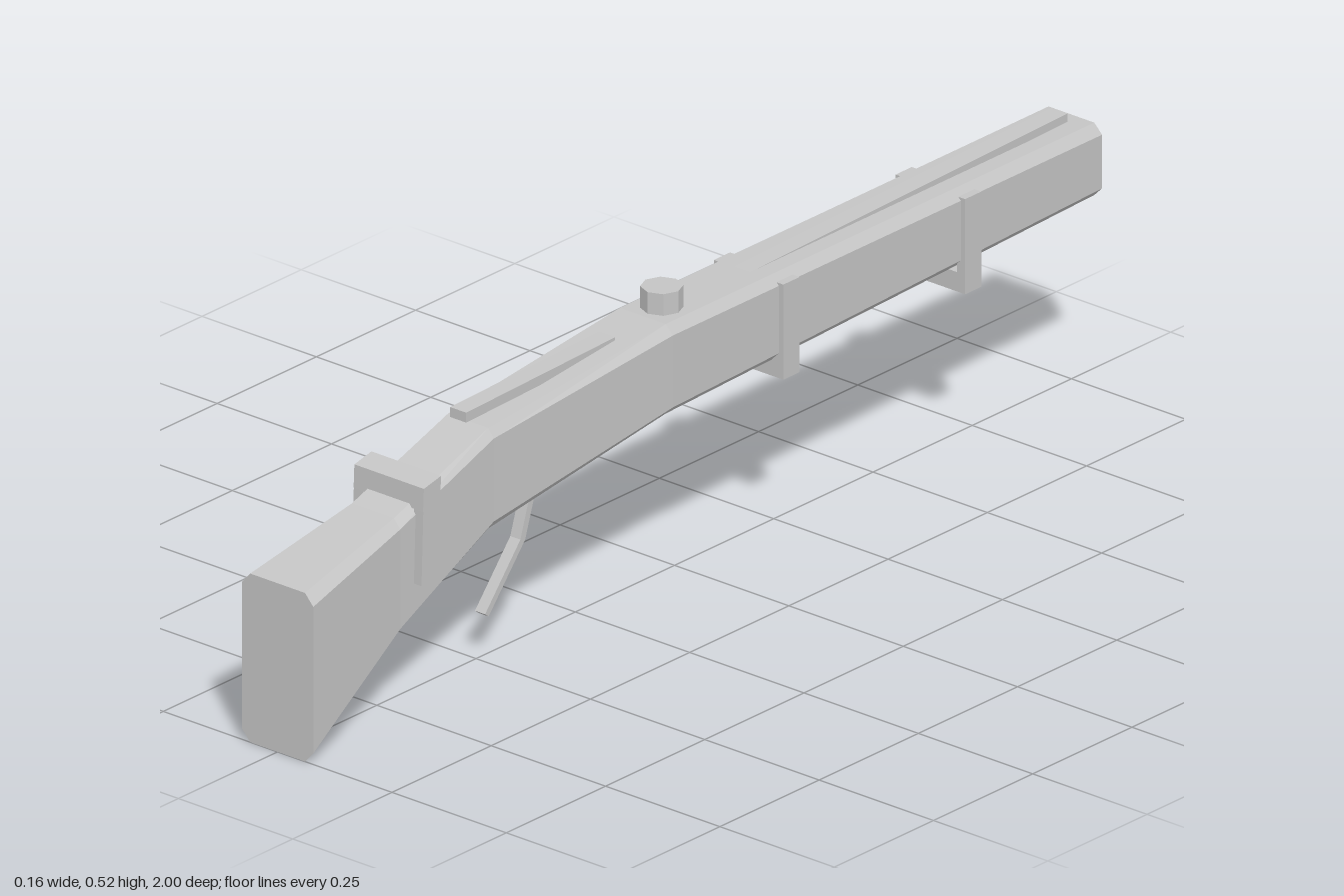
import * as THREE from 'three';

export function createModel() {
  const grey = new THREE.MeshStandardMaterial({ color: 0xc4c4c4 });
  const model = new THREE.Group();

  function add(name, geometry, parent = model) {
    let g = geometry.index ? geometry.toNonIndexed() : geometry;
    g.computeVertexNormals(); // one normal per face
    const mesh = new THREE.Mesh(g, grey);
    mesh.name = name;
    parent.add(mesh);
    return mesh;
  }

  // Side outline given as [z, y] points, extruded across x
  function sidePlate(points, x0, x1) {
    const shape = new THREE.Shape(points.map(([z, y]) => new THREE.Vector2(z, y)));
    const g = new THREE.ExtrudeGeometry(shape, { depth: x1 - x0, bevelEnabled: false });
    g.rotateY(-Math.PI / 2);
    g.translate(x1, 0, 0);
    return g;
  }

  // Chamfered body lofted through: z, bottom, top, half width, top half width, chamfer height
  const sections = [
    [1.0, 0.0, 0.305, 0.078, 0.06, 0.02],
    [0.76, 0.143, 0.355, 0.06, 0.046, 0.016],
    [0.52, 0.255, 0.437, 0.056, 0.044, 0.016],
    [0.08, 0.316, 0.478, 0.066, 0.05, 0.016],
    [-1.0, 0.347, 0.478, 0.067, 0.05, 0.017],
  ];
  const rings = sections.map(([z, b, t, w, n, c]) => [
    [n, b], [w, b + c], [w, t - c], [n, t], [-n, t], [-w, t - c], [-w, b + c], [-n, b],
  ].map(([x, y]) => [x, y, z]));
  const pos = [];
  const tri = (a, b, c) => pos.push(...a, ...b, ...c);
  for (let s = 0; s < rings.length - 1; s++) {
    const f = rings[s], r = rings[s + 1];
    for (let i = 0; i < 8; i++) {
      const j = (i + 1) % 8;
      tri(f[i], r[i], r[j]);
      tri(f[i], r[j], f[j]);
    }
  }
  const first = rings[0], last = rings[rings.length - 1];
  for (let i = 1; i < 7; i++) {
    tri(first[0], first[i], first[i + 1]);
    tri(last[0], last[i + 1], last[i]);
  }
  const body = new THREE.BufferGeometry();
  body.setAttribute('position', new THREE.Float32BufferAttribute(pos, 3));
  add('body', body);

  // Two slim rails rising out of the top
  add('rearRail', sidePlate([[-0.17, 0.463], [-0.17, 0.478], [-0.97, 0.495], [-0.97, 0.48]], -0.0175, 0.0175));
  add('frontRail', sidePlate([[0.545, 0.447], [0.545, 0.465], [0.17, 0.475], [0.17, 0.457]], -0.0175, 0.0175));

  // Eight-sided knob
  const knob = add('knob', new THREE.CylinderGeometry(0.036, 0.036, 0.06, 8));
  knob.position.set(0, 0.487, 0.032);

  // Bands: a bar below with a leg up each side
  for (const [name, z] of [['middleBand', -0.207], ['rearBand', -0.665]]) {
    const band = new THREE.Group();
    band.name = name;
    model.add(band);
    const bar = add('bandBar', new THREE.BoxGeometry(0.152, 0.035, 0.041), band);
    bar.position.set(0, 0.3125, z);
    for (const side of [-1, 1]) {
      const leg = add('bandLeg', new THREE.BoxGeometry(0.018, 0.172, 0.041), band);
      leg.position.set(side * 0.067, 0.381, z);
    }
  }

  // Collar over the narrow neck, slightly tilted
  const collar = new THREE.Group();
  collar.name = 'collar';
  model.add(collar);
  add('collarBar', sidePlate([[0.721, 0.362], [0.719, 0.403], [0.676, 0.412], [0.678, 0.37]], -0.076, 0.076), collar);
  const legSide = [[0.725, 0.229], [0.719, 0.403], [0.676, 0.412], [0.682, 0.238]];
  add('collarLegLeft', sidePlate(legSide, 0.056, 0.076), collar);
  add('collarLegRight', sidePlate(legSide, -0.076, -0.056), collar);

  // Bent lever below the body
  add('lever', sidePlate([
    [0.367, 0.29], [0.401, 0.185], [0.49, 0.08], [0.481, 0.073], [0.389, 0.181], [0.353, 0.29],
  ], -0.011, 0.011));

  return model;
}
